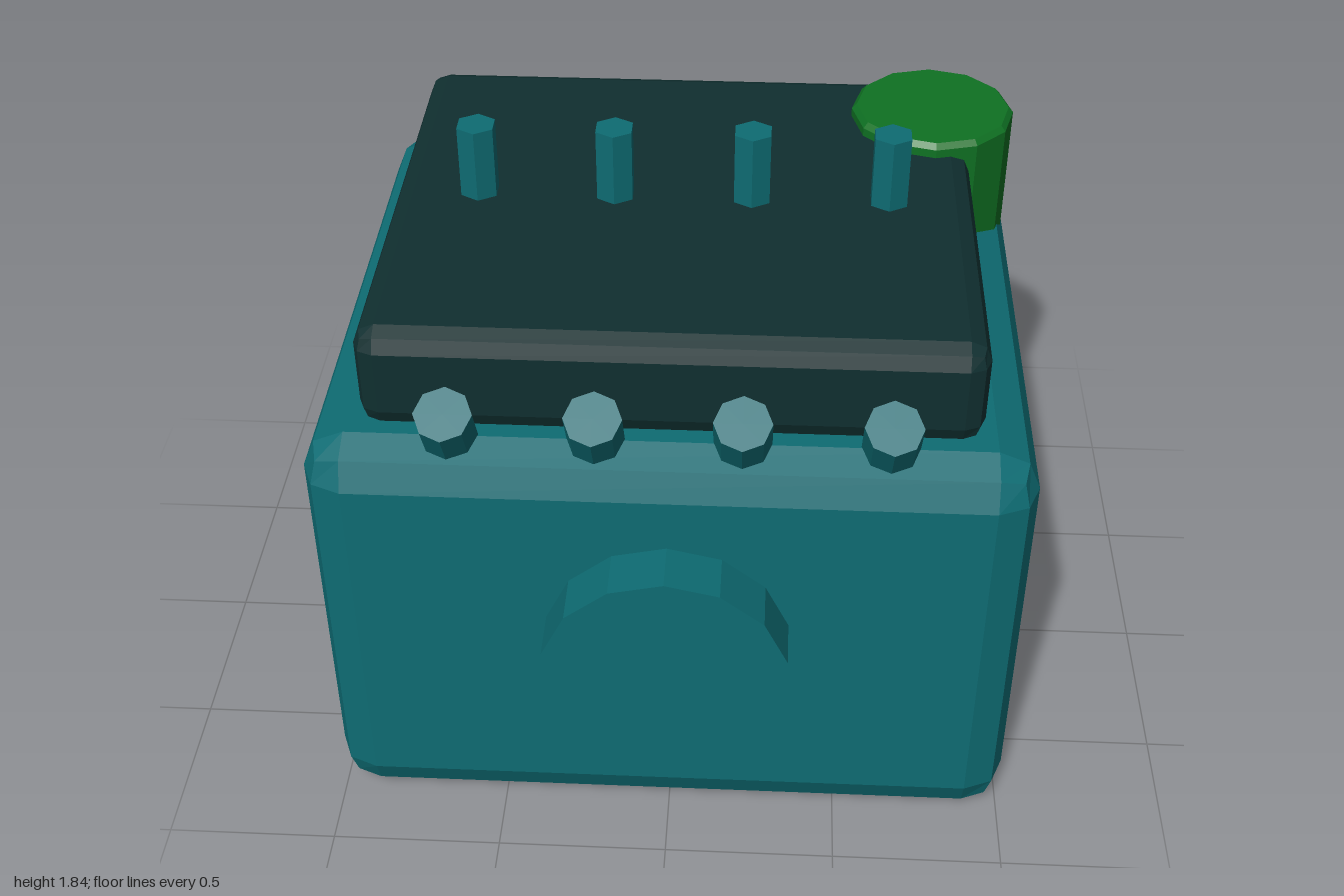
import * as THREE from 'three';
import { RoundedBoxGeometry } from 'three/addons/geometries/RoundedBoxGeometry.js';

const flat = (name, color) => {
  const m = new THREE.MeshStandardMaterial({ color, flatShading: true });
  m.name = name;
  return m;
};

export function createModel() {
  const teal = flat('teal', 0x0e6c73);
  const dark = flat('darkTeal', 0x102f30);
  const green = flat('green', 0x0f7223);
  const model = new THREE.Group();
  model.name = 'boxDevice';

  const add = (name, geometry, material, x, y, z, tilt = 0) => {
    const mesh = new THREE.Mesh(geometry, material);
    mesh.name = name;
    mesh.position.set(x, y, z);
    mesh.rotation.x = tilt;
    model.add(mesh);
    return mesh;
  };

  // Low-poly rounded block; one segment pulls faces inward, so compensate the size
  const block = (w, h, d, r) => {
    const e = 2 * r * (1 - 3 / Math.sqrt(11));
    return new RoundedBoxGeometry(w + e, h + e, d + e, 1, r);
  };

  // Main body and raised top panel
  const midZ = -0.09;
  add('body', block(2, 1.303, 1.8, 0.12), teal, 0, 0.6515, midZ);
  add('topPanel', block(1.7, 0.3, 1.5, 0.06), dark, 0, 1.453, midZ);

  // Round disc floating just ahead of the front face
  add('frontDisc', new THREE.CylinderGeometry(0.35, 0.35, 0.15, 14), teal, 0, 0.705, 0.918, Math.PI / 2);

  // Upright hexagonal pins and tilted front knobs
  const pin = new THREE.CylinderGeometry(0.06, 0.06, 0.4, 6);
  const knob = new THREE.CylinderGeometry(0.08, 0.08, 0.2, 8);
  for (const x of [-0.6, -0.2, 0.2, 0.6]) {
    add('pin', pin, teal, x, 1.63, midZ);
    add('knob', knob, teal, x, 1.348, 0.715, Math.PI / 6);
  }

  // Green drum with a slightly bevelled rim on the back corner
  const profile = [[0, 1.2], [0.25, 1.2], [0.25, 1.635], [0.235, 1.652], [0, 1.652]]
    .map(([r, y]) => new THREE.Vector2(r, y));
  add('cornerDrum', new THREE.LatheGeometry(profile, 12), green, 0.75, 0, -0.592);

  return model;
}
